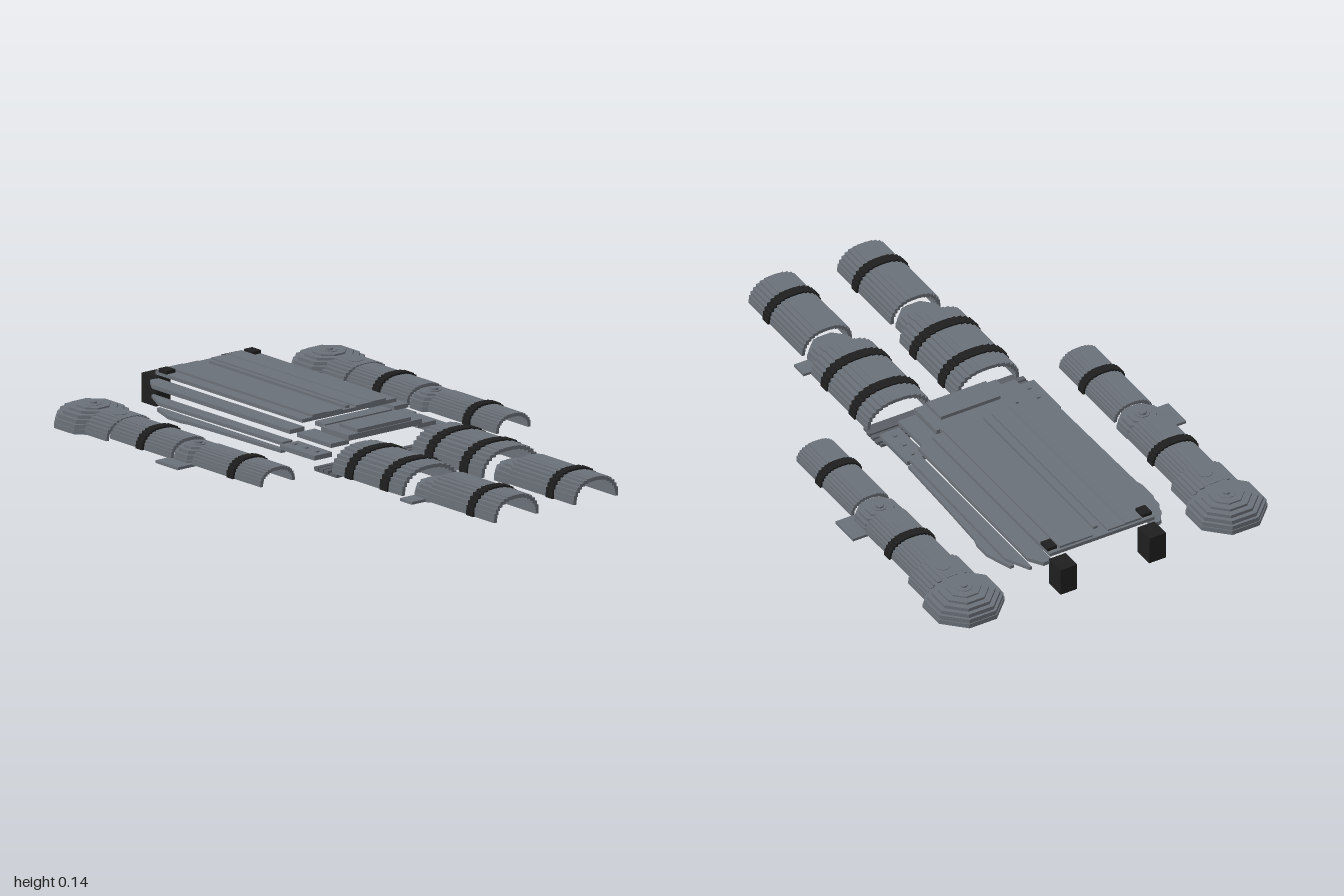
import * as THREE from 'three';

const armour = new THREE.MeshStandardMaterial({ color: 0x6b7178, flatShading: true });
armour.name = 'armourGrey';
const black = new THREE.MeshStandardMaterial({ color: 0x1f1f1f, flatShading: true });
black.name = 'strapBlack';
const beltGrey = new THREE.MeshStandardMaterial({ color: 0x5a5f65, flatShading: true });
beltGrey.name = 'beltGrey';

export function createModel() {
  const root = new THREE.Group();
  root.name = 'armourSet';

  const add = (parent, name, geometry, material = armour) => {
    const mesh = new THREE.Mesh(geometry, material);
    mesh.name = name;
    parent.add(mesh);
    return mesh;
  };
  const group = (name) => {
    const g = new THREE.Group();
    g.name = name;
    root.add(g);
    return g;
  };

  // Block given by its min and max corners
  const block = (parent, name, [x0, x1], [y0, y1], [z0, z1], material) =>
    add(parent, name, new THREE.BoxGeometry(Math.abs(x1 - x0), y1 - y0, z1 - z0), material)
      .position.set((x0 + x1) / 2, (y0 + y1) / 2, (z0 + z1) / 2);

  // Staircase quarter arc from the rim (r, 0) to the crown (0, h)
  const stairs = (r, h, n) => {
    const pts = [[r, 0]];
    for (let i = 0; i < n; i++) {
      const a = (i / n) * Math.PI / 2, b = ((i + 1) / n) * Math.PI / 2;
      pts.push([r * Math.cos(a), h * Math.sin(b)]);
      pts.push([i === n - 1 ? 0 : r * Math.cos(b), h * Math.sin(b)]);
    }
    return pts;
  };

  // Hollow half tube with stepped sides, running along z
  const shell = (parent, name, x, y, r, h, t, z0, z1, material) => {
    const half = (pts) => [...pts, ...pts.slice(0, -1).reverse().map(([px, py]) => [-px, py])];
    const outline = [...half(stairs(r, h, 8)), ...half(stairs(r - t, h - t, 8)).reverse()];
    const shape = new THREE.Shape(outline.map((p) => new THREE.Vector2(...p)));
    const geo = new THREE.ExtrudeGeometry(shape, { depth: z1 - z0, bevelEnabled: false });
    add(parent, name, geo, material).position.set(x, y, z0);
  };

  // Eight-sided stepped dome, hollow if t > 0
  const dome = (parent, name, x, y, z, r, h, n, t = 0) => {
    const k = 1 / Math.cos(Math.PI / 8);
    const inner = t ? stairs(r - t, h - t, n).reverse() : [[0, 0]];
    const profile = [...inner, ...stairs(r, h, n)].map(([px, py]) => new THREE.Vector2(px * k, py));
    const geo = new THREE.LatheGeometry(profile, 8);
    geo.rotateY(Math.PI / 8);
    add(parent, name, geo).position.set(x, y, z);
  };

  // Flat plate from an x/z outline
  const plate = (parent, name, outline, y0, y1, s = 1) => {
    const shape = new THREE.Shape(outline.map(([x, z]) => new THREE.Vector2(x * s, -z)));
    const geo = new THREE.ExtrudeGeometry(shape, { depth: y1 - y0, bevelEnabled: false });
    geo.rotateX(-Math.PI / 2);
    add(parent, name, geo).position.y = y0;
  };

  const chest = group('chestPlate');
  const abdomen = group('abdomenPlate');
  const belt = group('belt');

  // Chest centre with its spine ridge and raised panels
  plate(chest, 'chestCentre', [[-0.21, -0.12], [0.21, -0.12], [0.21, -0.915], [-0.21, -0.915]], 0.115, 0.128);
  block(chest, 'chestRidge', [-0.008, 0.008], [0.128, 0.138], [-0.87, -0.13]);

  // Abdomen centre
  block(abdomen, 'upperAbdomen', [-0.15, 0.15], [0.095, 0.11], [-0.125, -0.07]);
  block(abdomen, 'lowerAbdomen', [-0.165, 0.165], [0.085, 0.105], [-0.075, 0.075]);
  block(abdomen, 'abdomenPanel', [-0.12, 0.12], [0.105, 0.118], [-0.03, 0.07]);

  // Flat ribbed belt
  block(belt, 'beltBase', [-0.305, 0.305], [0, 0.011], [0.06, 0.18], beltGrey);
  for (let i = 0; i < 3; i++) {
    block(belt, 'beltRib', [-0.315, 0.315], [0.008, 0.019], [0.07 + i * 0.027, 0.09 + i * 0.027], beltGrey);
  }

  for (const s of [1, -1]) {
    const side = s > 0 ? 'left' : 'right';

    // Chest flanks stepping down and outward, with gaps between them
    block(chest, 'chestPanel', [s * 0.03, s * 0.1], [0.126, 0.134], [-0.905, -0.12]);
    block(chest, 'chestPanel', [s * 0.1, s * 0.165], [0.126, 0.136], [-0.905, -0.12]);
    plate(chest, 'upperFlank', [[0.2, -0.12], [0.265, -0.12], [0.268, -0.865], [0.235, -0.915], [0.2, -0.915]], 0.085, 0.1, s);
    plate(chest, 'middleFlank', [[0.255, -0.12], [0.3, -0.12], [0.31, -0.78], [0.265, -0.87], [0.255, -0.87]], 0.05, 0.062, s);
    plate(chest, 'lowerFlank', [[0.285, -0.12], [0.305, -0.12], [0.315, -0.4], [0.325, -0.6], [0.334, -0.63],
      [0.334, -0.7], [0.3, -0.8], [0.285, -0.8]], 0.024, 0.036, s);

    // Shoulder straps
    block(chest, 'strap', [s * 0.145, s * 0.212], [0, 0.105], [-0.99, -0.912], black);
    block(chest, 'strapTab', [s * 0.172, s * 0.21], [0.126, 0.14], [-0.9, -0.853], black);

    // Abdomen sides with rivets
    block(abdomen, 'innerSide', [s * 0.155, s * 0.235], [0.07, 0.085], [-0.12, 0.065]);
    block(abdomen, 'outerSide', [s * 0.23, s * 0.31], [0.038, 0.055], [-0.12, 0.065]);
    for (const z of [-0.09, -0.03, 0.03]) {
      block(abdomen, 'rivet', [s * 0.263, s * 0.277], [0.055, 0.06], [z - 0.007, z + 0.007]);
    }

    // Arm: shoulder, upper arm, elbow, forearm
    const arm = group(side + 'Arm');
    const ax = s * 0.528;
    dome(arm, 'shoulderDome', ax, 0.003, -0.868, 0.132, 0.078, 7, 0.01);
    dome(arm, 'shoulderStud', ax, 0.076, -0.868, 0.012, 0.011, 1);
    shell(arm, 'shoulderSleeve', ax, 0.005, 0.105, 0.07, 0.012, -0.79, -0.67);
    dome(arm, 'sleeveBoss', ax, 0.06, -0.725, 0.035, 0.017, 2);
    shell(arm, 'upperArm', ax, 0.01, 0.085, 0.062, 0.012, -0.675, -0.345);
    shell(arm, 'upperArmBand', ax, 0.01, 0.094, 0.069, 0.012, -0.525, -0.49, black);
    dome(arm, 'elbowDome', ax, 0.003, -0.3, 0.082, 0.06, 5);
    dome(arm, 'elbowStud', ax, 0.062, -0.3, 0.015, 0.008, 1);
    block(arm, 'elbowWing', [s * 0.56, s * 0.669], [0.002, 0.012], [-0.36, -0.24]);
    shell(arm, 'forearm', ax, 0.01, 0.077, 0.06, 0.012, -0.24, 0.13);
    shell(arm, 'forearmBand', ax, 0.01, 0.085, 0.067, 0.012, -0.045, -0.01, black);

    // Leg: thigh, knee, shin
    const leg = group(side + 'Leg');
    const lx = s * 0.178;
    shell(leg, 'thigh', lx, 0.013, 0.127, 0.09, 0.013, 0.155, 0.535);
    for (const z of [0.25, 0.44]) {
      shell(leg, 'thighBand', lx, 0.013, 0.133, 0.096, 0.012, z - 0.02, z + 0.02, black);
    }
    dome(leg, 'kneeDome', lx, 0.003, 0.59, 0.088, 0.062, 5);
    block(leg, 'kneeWing', [s * 0.21, s * 0.326], [0.003, 0.013], [0.548, 0.613]);
    shell(leg, 'shin', lx, 0.013, 0.1, 0.084, 0.013, 0.64, 1);
    shell(leg, 'shinBand', lx, 0.013, 0.107, 0.091, 0.012, 0.857, 0.893, black);
  }
  return root;
}
